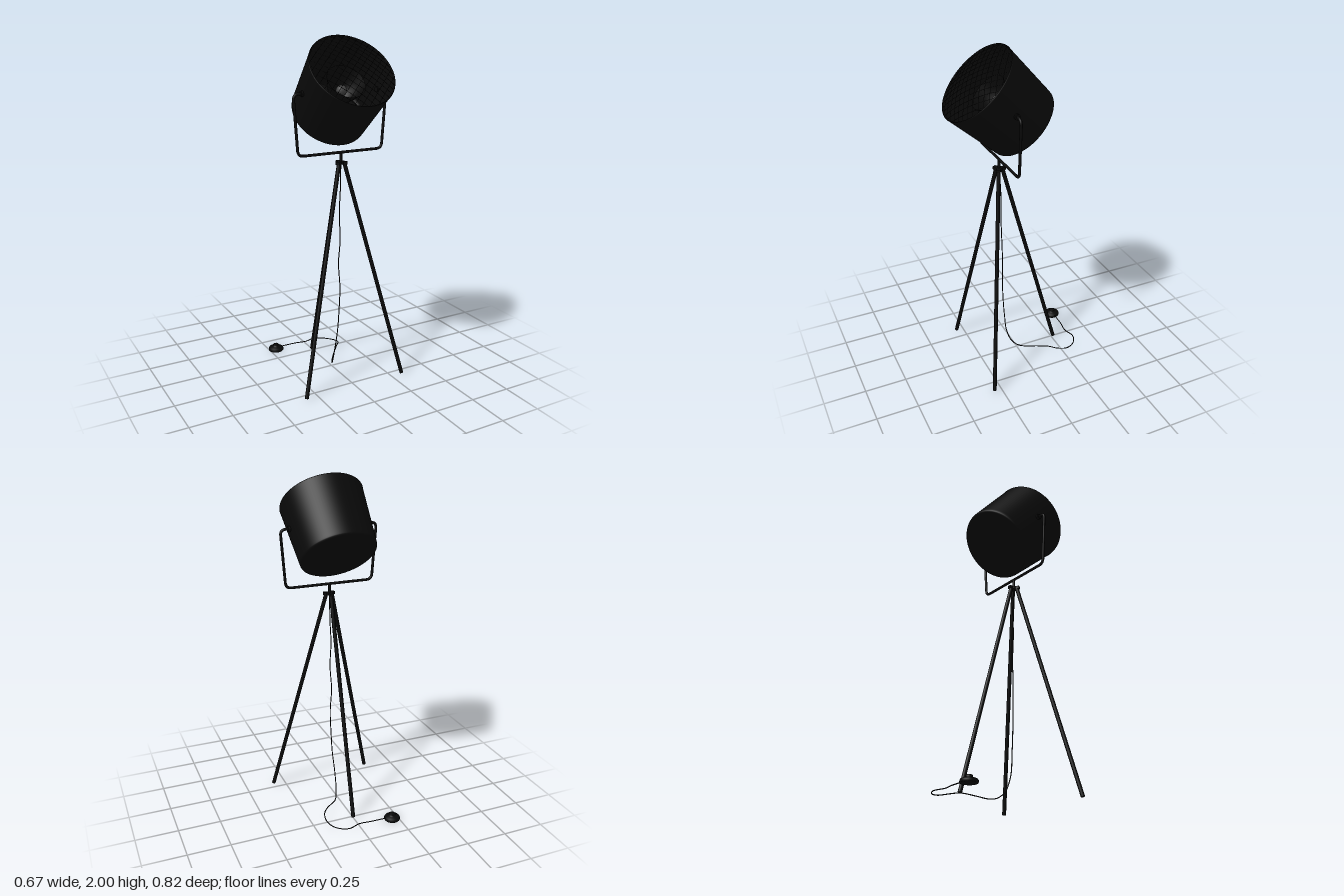
import * as THREE from 'three';

const V = (x, y, z) => new THREE.Vector3(x, y, z);
const black = new THREE.MeshStandardMaterial({ color: 0x090909 });
const blackThin = new THREE.MeshStandardMaterial({ color: 0x090909, side: THREE.DoubleSide });
const glass = new THREE.MeshStandardMaterial({ color: 0x444444 });

const POLE_Z = 0.108;   // z of the tripod axis and of the bracket plane
const HUB_Y = 1.3;

function add(parent, name, geometry, material = black) {
  const mesh = new THREE.Mesh(geometry, material);
  mesh.name = name;
  parent.add(mesh);
  return mesh;
}

// straight round bar between two points
function bar(parent, name, a, b, radius, sides = 20) {
  const mesh = add(parent, name, new THREE.CylinderGeometry(radius, radius, a.distanceTo(b), sides));
  mesh.position.copy(a).lerp(b, 0.5);
  mesh.quaternion.setFromUnitVectors(V(0, 1, 0), b.clone().sub(a).normalize());
  return mesh;
}

function lathe(parent, name, profile, material = black, segments = 64) {
  return add(parent, name, new THREE.LatheGeometry(profile.map(p => new THREE.Vector2(...p)), segments), material);
}

// path through corner points with rounded bends
function roundedPath(points, r) {
  const path = new THREE.CurvePath();
  let last = points[0];
  for (let i = 1; i < points.length - 1; i++) {
    const p = points[i];
    const a = p.clone().add(points[i - 1].clone().sub(p).setLength(r));
    const b = p.clone().add(points[i + 1].clone().sub(p).setLength(r));
    path.add(new THREE.LineCurve3(last, a));
    path.add(new THREE.QuadraticBezierCurve3(a, p, b));
    last = b;
  }
  path.add(new THREE.LineCurve3(last, points[points.length - 1]));
  return path;
}

function makeTripod() {
  const tripod = new THREE.Group();
  tripod.name = 'tripod';
  tripod.position.z = POLE_Z;
  for (let i = 0; i < 3; i++) {
    const angle = Math.PI / 6 + i * Math.PI * 2 / 3;
    const c = Math.cos(angle), s = Math.sin(angle);
    bar(tripod, 'leg', V(0.372 * c, 0.006, 0.372 * s), V(0.02 * c, HUB_Y, 0.02 * s), 0.0115);
    // lug that holds the top of the leg
    const lug = add(tripod, 'hubLug', new THREE.BoxGeometry(0.037, 0.016, 0.024));
    lug.position.set(0.0185 * c, HUB_Y + 0.003, 0.0185 * s);
    lug.rotation.y = -angle;
  }
  bar(tripod, 'hub', V(0, HUB_Y - 0.005, 0), V(0, HUB_Y + 0.011, 0), 0.02);
  bar(tripod, 'post', V(0, HUB_Y, 0), V(0, 1.36, 0), 0.008);
  return tripod;
}

function makeBracket() {
  const bracket = new THREE.Group();
  bracket.name = 'bracket';
  bracket.position.z = POLE_Z;
  const corners = [[-0.225, 1.7], [-0.292, 1.7], [-0.267, 1.362], [0.267, 1.362], [0.292, 1.7], [0.225, 1.7]];
  const path = roundedPath(corners.map(([x, y]) => V(x, y, 0)), 0.034);
  add(bracket, 'bracketTube', new THREE.TubeGeometry(path, 200, 0.008, 12));
  for (const side of [-1, 1]) bar(bracket, 'pivotKnob', V(side * 0.225, 1.7, 0), V(side * 0.248, 1.7, 0), 0.016);
  return bracket;
}

// head is built along y (closed end at 0, mouth at LENGTH), then tilted 45 degrees forward
function makeHead() {
  const LENGTH = 0.38, MOUTH = 0.248;
  const head = new THREE.Group();
  head.name = 'lampHead';
  head.position.set(0, 1.557, -0.037);
  head.rotation.x = Math.PI / 4;

  lathe(head, 'shade', [
    [0, 0], [0.212, 0], [0.2155, 0.001], [0.2205, 0.005], [0.2225, 0.011], [0.2235, 0.02],
    [0.2465, LENGTH - 0.01], [MOUTH, LENGTH - 0.004], [0.2465, LENGTH], [0.2435, LENGTH],
    [0.2425, LENGTH - 0.01], [0.2195, 0.02], [0.214, 0.006], [0.208, 0.005], [0, 0.005],
  ], blackThin, 96);

  // socket, small reflector dish and bulb
  lathe(head, 'socket', [[0, 0.005], [0.034, 0.005], [0.034, 0.012], [0.024, 0.016], [0.024, 0.155], [0, 0.157]], black, 32);
  lathe(head, 'reflector', [
    [0.022, 0.145], [0.045, 0.155], [0.07, 0.185], [0.092, 0.23], [0.11, 0.285], [0.113, 0.285],
  ], blackThin, 48);
  lathe(head, 'bulb', [
    [0.014, 0.15], [0.016, 0.17], [0.024, 0.186], [0.03, 0.204], [0.028, 0.221], [0.019, 0.234], [0.009, 0.239], [0, 0.24],
  ], glass, 32);

  // slightly domed wire grille, two sets of crossing wires
  const grille = new THREE.Group();
  grille.name = 'grille';
  const R = 0.242, STEP = 0.035;
  for (const turn of [-1, 1]) {
    for (let i = -6; i <= 6; i++) {
      const d = i * STEP, half = Math.sqrt(R * R - d * d);
      const points = [];
      for (let k = 0; k <= 10; k++) {
        const t = half * (k / 5 - 1);
        points.push(V(t, LENGTH - 0.004 + 0.036 * (1 - (t * t + d * d) / (R * R)), d));
      }
      const wire = add(grille, 'grilleWire', new THREE.TubeGeometry(new THREE.CatmullRomCurve3(points), 20, 0.0014, 5));
      wire.rotation.y = turn * Math.PI / 4;
    }
  }
  head.add(grille);
  return head;
}

function makeCord() {
  const cord = new THREE.Group();
  cord.name = 'cord';
  const points = [
    [0, 1.3, 0.108], [0.002, 1.15, 0.1], [-0.004, 1, 0.099], [0.003, 0.85, 0.098], [-0.004, 0.7, 0.092],
    [0.003, 0.55, 0.097], [0, 0.4, 0.092], [-0.004, 0.27, 0.082], [-0.013, 0.14, 0.064], [-0.008, 0.05, 0.03],
    [0.008, 0.013, -0.01], [0.03, 0.006, -0.05], [0.075, 0.022, -0.105], [0.13, 0.039, -0.165],
    [0.164, 0.034, -0.21], [0.172, 0.02, -0.27], [0.15, 0.012, -0.325], [0.11, 0.011, -0.362],
    [0.068, 0.012, -0.375], [0, 0.014, -0.355], [-0.07, 0.016, -0.362], [-0.19, 0.016, -0.365],
  ];
  const curve = new THREE.CatmullRomCurve3(points.map(p => V(...p)));
  add(cord, 'cable', new THREE.TubeGeometry(curve, 240, 0.003, 8));

  // foot switch on the floor
  const foot = lathe(cord, 'footSwitch', [
    [0, 0], [0.044, 0], [0.047, 0.004], [0.047, 0.014], [0.043, 0.02], [0.026, 0.027],
    [0.019, 0.029], [0.019, 0.037], [0.016, 0.041], [0, 0.042],
  ], black, 40);
  foot.position.set(-0.21, 0, -0.364);
  return cord;
}

export function createModel() {
  const model = new THREE.Group();
  model.name = 'tripodFloorLamp';
  model.add(makeTripod(), makeBracket(), makeHead(), makeCord());
  return model;
}
